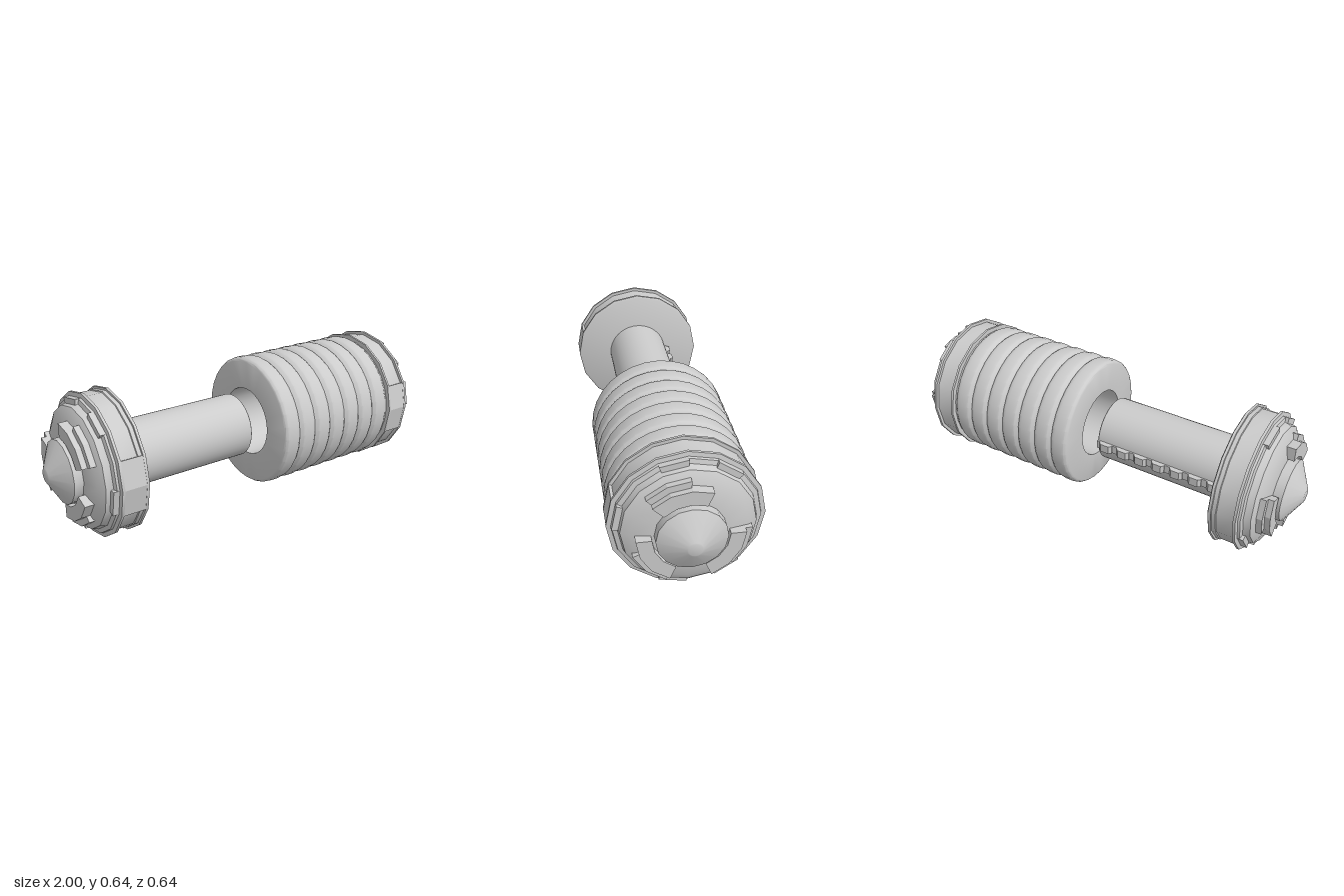
import * as THREE from 'three';
import { toCreasedNormals } from 'three/addons/utils/BufferGeometryUtils.js';

const AXIS_Y = 0.322;
const rad = THREE.MathUtils.degToRad;
const grey = new THREE.MeshStandardMaterial({ color: 0xcccccc });

function addMesh(parent, name, geometry) {
  const mesh = new THREE.Mesh(geometry, grey);
  mesh.name = name;
  parent.add(mesh);
  return mesh;
}

// Revolve [x, radius] points around the x axis.
function turned(points, sides) {
  const profile = points.map(([x, r]) => new THREE.Vector2(r, x));
  const geometry = new THREE.LatheGeometry(profile, sides);
  geometry.rotateZ(-Math.PI / 2);
  return toCreasedNormals(geometry, 0.5);
}

// Faceted arc block around the x axis; angles run from the top towards +z.
function arcBlock(from, to, inner, outer, x0, x1) {
  const steps = Math.round((to - from) / 22.5);
  const outerEdge = [], innerEdge = [];
  for (let i = 0; i <= steps; i++) {
    const a = rad(from + (to - from) * i / steps);
    outerEdge.push(new THREE.Vector2(-outer * Math.sin(a), outer * Math.cos(a)));
    innerEdge.unshift(new THREE.Vector2(-inner * Math.sin(a), inner * Math.cos(a)));
  }
  const shape = new THREE.Shape([...outerEdge, ...innerEdge]);
  const geometry = new THREE.ExtrudeGeometry(shape, { depth: x1 - x0, bevelEnabled: false });
  geometry.translate(0, 0, x0);
  geometry.rotateY(Math.PI / 2);
  return geometry;
}

// Flanged band, stepped dome, raised plates and pointed tip, facing +x.
function createEnd(name, flip, turn, bandStart) {
  const end = new THREE.Group();
  end.name = name;
  const block = (part, from, to, ...size) =>
    addMesh(end, part, flip ? arcBlock(-to, -from, ...size) : arcBlock(from, to, ...size));

  addMesh(end, 'flangedCap', turned([
    ...bandStart,
    [0.8, 0.307], [0.8, 0.322], [0.812, 0.322], [0.815, 0.303], [0.825, 0.3],
    [0.83, 0.28], [0.86, 0.272], [0.88, 0.235], [0.895, 0.155], [0.895, 0],
  ], 16));
  addMesh(end, 'pointedTip', turned([
    [0.88, 0], [0.88, 0.143], [0.936, 0.143], [0.998, 0.033], [1, 0.028], [1, 0],
  ], 16));

  // Solid bridge across the band groove at the front
  block('bandBridge', 67.5, 112.5, 0.28, 0.321, 0.7, 0.806);

  // Small blocks around the rim
  for (const a of [0, 67.5, 157.5, 202.5, 315, 270].slice(0, 5)) {
    block('rimBlock', a + turn, a + 22.5 + turn, 0.265, 0.303, 0.81, 0.842);
  }
  // Two-level plates around the tip
  for (const a of [-22.5, 90, 202.5]) {
    block('innerPlate', a + turn, a + 67.5 + turn, 0.155, 0.218, 0.86, 0.925);
  }
  for (const a of [0, 112.5, 225]) {
    block('outerPlate', a + turn, a + 45 + turn, 0.2, 0.247, 0.85, 0.9);
  }
  if (flip) end.rotation.y = Math.PI;
  return end;
}

export function createModel() {
  const model = new THREE.Group();
  model.name = 'twoPartHandle';
  const body = new THREE.Group();
  body.name = 'body';
  body.position.y = AXIS_Y;
  model.add(body);

  // Ribbed sleeve with a deep socket
  const ribs = 7, pitch = 0.0935, start = 0.035;
  const sleeve = [[0.6, 0], [0.6, 0.165], [start, 0.165], [start, 0.296]];
  for (let i = 0; i < ribs; i++) {
    const x = start + i * pitch;
    sleeve.push([x + 0.004, 0.304], [x + 0.014, 0.311], [x + 0.028, 0.313], [x + 0.062, 0.313],
      [x + 0.076, 0.311], [x + 0.086, 0.304], [x + 0.089, 0.298]);
  }
  sleeve.push([0.7, 0.298]);
  addMesh(body, 'ribbedSleeve', turned(sleeve, 32));

  body.add(createEnd('sleeveEnd', false, 0, [
    [0.695, 0.29], [0.695, 0.322], [0.706, 0.322], [0.706, 0.307],
  ]));
  body.add(createEnd('rodEnd', true, 22.5, [
    [0.682, 0], [0.682, 0.31], [0.688, 0.322], [0.7, 0.322], [0.7, 0.312],
    [0.718, 0.312], [0.72, 0.307],
  ]));

  // Rod that slides into the socket
  addMesh(body, 'rod', turned([
    [-0.7, 0], [-0.7, 0.15], [-0.044, 0.15], [-0.04, 0.146], [-0.04, 0],
  ], 40));

  // Rack of bevelled teeth along the back of the rod
  const tooth = new THREE.Shape([
    new THREE.Vector2(-0.032, 0), new THREE.Vector2(0.032, 0),
    new THREE.Vector2(0.032, 0.022), new THREE.Vector2(0.02, 0.034),
    new THREE.Vector2(-0.02, 0.034), new THREE.Vector2(-0.032, 0.022),
  ]);
  const toothGeometry = new THREE.ExtrudeGeometry(tooth, { depth: 0.04, bevelEnabled: false });
  toothGeometry.translate(0, 0, -0.02);
  toothGeometry.rotateX(-Math.PI / 2);
  for (let i = 0; i < 7; i++) {
    addMesh(body, 'rodTooth', toothGeometry).position.set(-0.638 + i * 0.0915, 0, -0.139);
  }
  addMesh(body, 'toothRail', new THREE.BoxGeometry(0.64, 0.04, 0.02)).position.set(-0.36, 0, -0.146);

  return model;
}
